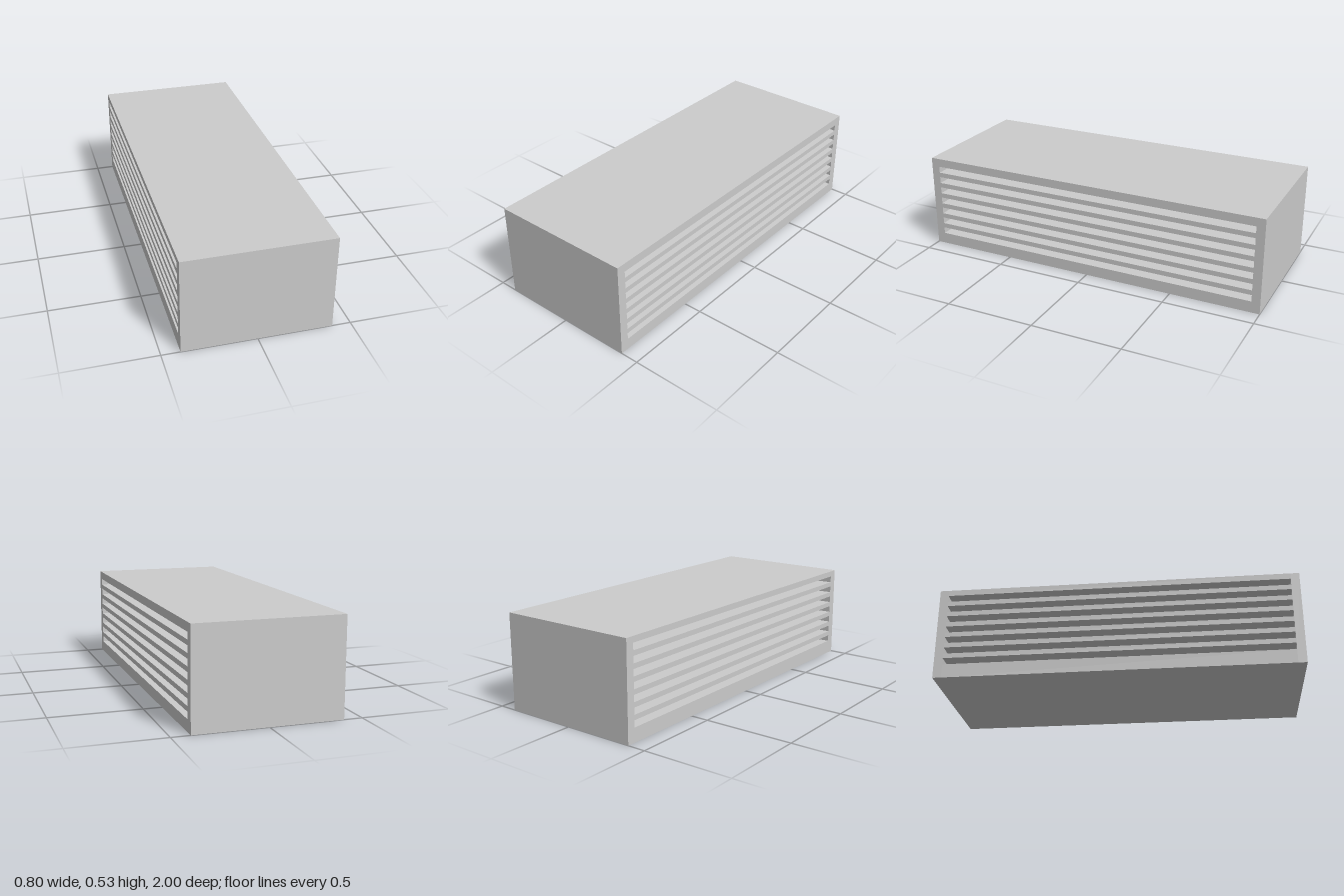
import * as THREE from 'three';

const W = 0.8, H = 0.534, L = 2;
const OPEN_L = 1.904;          // length of the vent opening
const BOTTOM = 0.064;          // opening floor at the +x side
const GAP = 0.037, PITCH = 0.0643, SLOTS = 7;
const RISE = 0.014;            // slots climb slightly towards the -x side

export function createModel() {
  const group = new THREE.Group();
  const material = new THREE.MeshStandardMaterial({ color: 0xcccccc, flatShading: true });

  // Bar with a four-sided cross-section in x/y, running along z
  function bar(name, lowRight, highRight, lowLeft, highLeft, length, z = 0) {
    const x = W / 2;
    const shape = new THREE.Shape([
      new THREE.Vector2(-x, lowLeft), new THREE.Vector2(x, lowRight),
      new THREE.Vector2(x, highRight), new THREE.Vector2(-x, highLeft),
    ]);
    const geometry = new THREE.ExtrudeGeometry(shape, { depth: length, bevelEnabled: false });
    geometry.translate(0, 0, z - length / 2);
    const mesh = new THREE.Mesh(geometry, material);
    mesh.name = name;
    group.add(mesh);
  }

  // Housing: base, lid and two solid ends around the opening
  const top = BOTTOM + GAP + PITCH * (SLOTS - 1);
  bar('base', 0, BOTTOM, 0, BOTTOM + RISE, OPEN_L);
  bar('lid', top, H, top + RISE, H, OPEN_L);
  const endLength = (L - OPEN_L) / 2;
  for (const side of [1, -1]) {
    bar(side > 0 ? 'frontEnd' : 'backEnd', 0, H, 0, H, endLength, side * (L - endLength) / 2);
  }

  // Vent slats between the slots
  for (let i = 0; i < SLOTS - 1; i++) {
    const low = BOTTOM + GAP + i * PITCH;
    const high = BOTTOM + (i + 1) * PITCH;
    bar(`slat${i + 1}`, low, high, low + RISE, high + RISE, OPEN_L);
  }
  return group;
}
